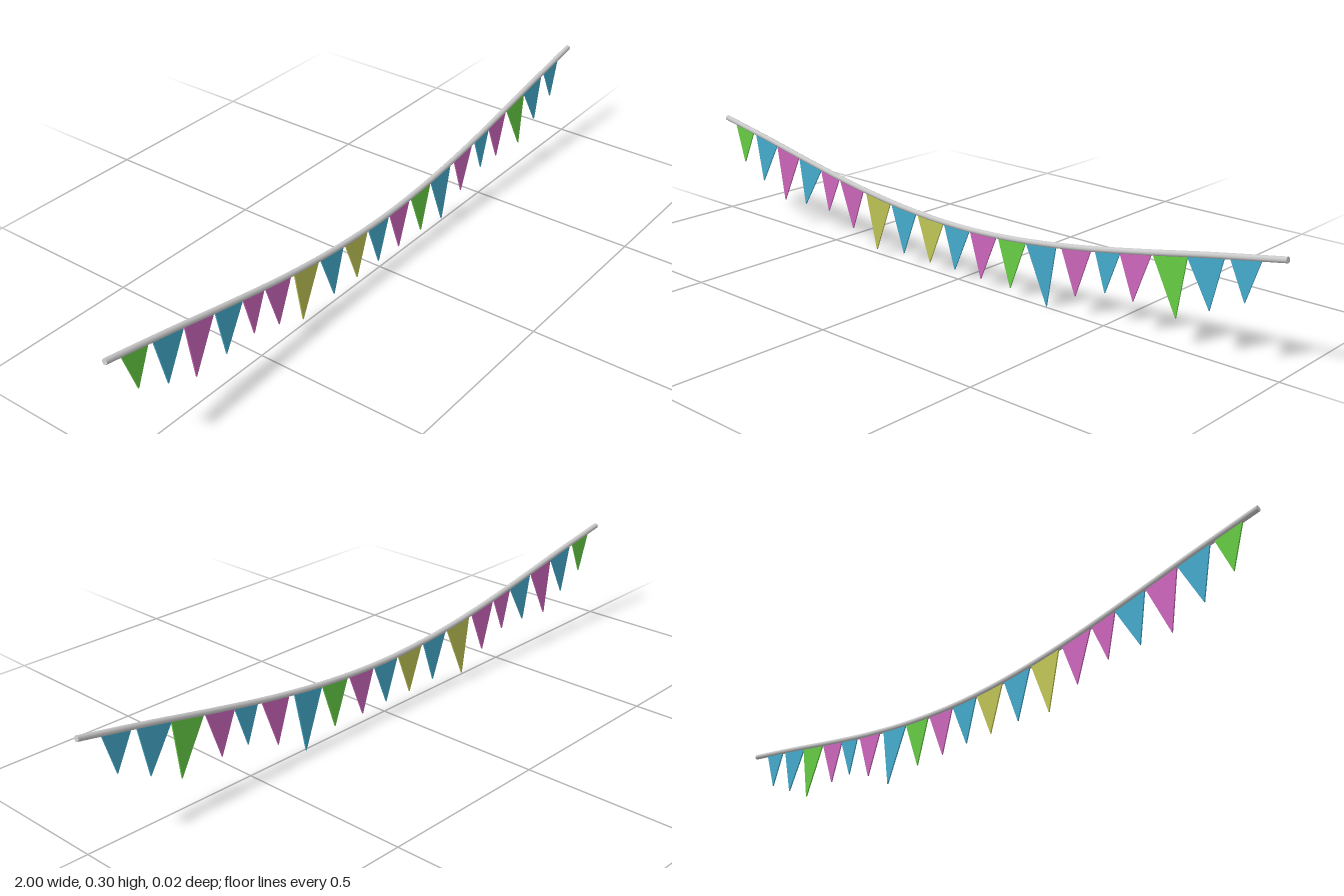
import * as THREE from 'three';

const COLORS = { g: 0x66cc44, b: 0x44aacc, p: 0xcc66bb, y: 0xbfc455 };
const THICK = 0.004;

// Pennants: colour, top left x, top right x, tip x, tip y, tip z
const FLAGS = [
  ['g', -0.955, -0.868, -0.915, 0.168, 0.002],
  ['b', -0.858, -0.755, -0.825, 0.124, 0.003],
  ['p', -0.757, -0.655, -0.730, 0.080, -0.002],
  ['b', -0.655, -0.553, -0.628, 0.088, 0.003],
  ['p', -0.558, -0.476, -0.525, 0.088, 0.002],
  ['p', -0.476, -0.374, -0.425, 0.054, -0.003],
  ['y', -0.364, -0.262, -0.328, 0.010, -0.006],
  ['b', -0.260, -0.160, -0.208, 0.028, 0.003],
  ['y', -0.156, -0.054, -0.106, 0.025, 0.002],
  ['b', -0.054, 0.043, -0.010, 0.027, 0.003],
  ['p', 0.043, 0.140, 0.086, 0.024, 0.002],
  ['g', 0.144, 0.242, 0.192, 0.025, 0.003],
  ['b', 0.240, 0.342, 0.310, 0.001, -0.006],
  ['p', 0.358, 0.455, 0.405, 0.054, -0.003],
  ['b', 0.465, 0.545, 0.502, 0.090, 0.002],
  ['p', 0.540, 0.637, 0.588, 0.090, 0.002],
  ['g', 0.637, 0.738, 0.715, 0.080, 0.003],
  ['b', 0.733, 0.838, 0.806, 0.124, 0.002],
  ['b', 0.850, 0.936, 0.898, 0.168, 0.002],
];

// Height of the sagging rope at 0, 0.2, 0.4 ... 1 from the middle
const SAG = [0.154, 0.163, 0.187, 0.222, 0.261, 0.297];

export function createModel() {
  const group = new THREE.Group();

  // Rope
  const points = [];
  for (let i = -5; i <= 5; i++) points.push(new THREE.Vector3(i * 0.1997, SAG[Math.abs(i)], 0));
  const curve = new THREE.CatmullRomCurve3(points);
  const samples = curve.getPoints(100);
  const ropeY = (x) => {
    const i = Math.max(1, samples.findIndex((p) => p.x >= x));
    const a = samples[i - 1], b = samples[i];
    return THREE.MathUtils.mapLinear(x, a.x, b.x, a.y, b.y);
  };
  const ropeMaterial = new THREE.MeshStandardMaterial({ color: 0xcccccc });
  const rope = new THREE.Mesh(new THREE.TubeGeometry(curve, 48, 0.008, 8), ropeMaterial);
  rope.name = 'rope';
  group.add(rope);

  // Rope ends, closed with discs facing outwards
  for (const t of [0, 1]) {
    const cap = new THREE.Mesh(new THREE.CircleGeometry(0.008, 8), ropeMaterial);
    cap.name = t ? 'leftRopeEnd' : 'rightRopeEnd';
    cap.position.copy(curve.getPoint(t));
    cap.quaternion.setFromUnitVectors(
      new THREE.Vector3(0, 0, 1),
      curve.getTangent(t).multiplyScalar(t ? 1 : -1),
    );
    group.add(cap);
  }

  // Pennants, thin triangles that lean slightly forwards or backwards
  const materials = {};
  for (const key in COLORS) materials[key] = new THREE.MeshStandardMaterial({ color: COLORS[key] });
  FLAGS.forEach(([key, x0, x1, tipX, tipY, tipZ], i) => {
    const y0 = ropeY(x0), y1 = ropeY(x1);
    const shape = new THREE.Shape([
      new THREE.Vector2(x0, y0),
      new THREE.Vector2(tipX, tipY),
      new THREE.Vector2(x1, y1),
    ]);
    const geometry = new THREE.ExtrudeGeometry(shape, { depth: THICK, bevelEnabled: false });
    geometry.translate(0, 0, -THICK / 2);
    const pos = geometry.attributes.position;
    for (let v = 0; v < pos.count; v++) {
      if (pos.getY(v) < tipY + 1e-4) pos.setZ(v, pos.getZ(v) + tipZ);
    }
    geometry.computeVertexNormals();
    const flag = new THREE.Mesh(geometry, materials[key]);
    flag.name = `pennant${i + 1}`;
    group.add(flag);
  });

  return group;
}
